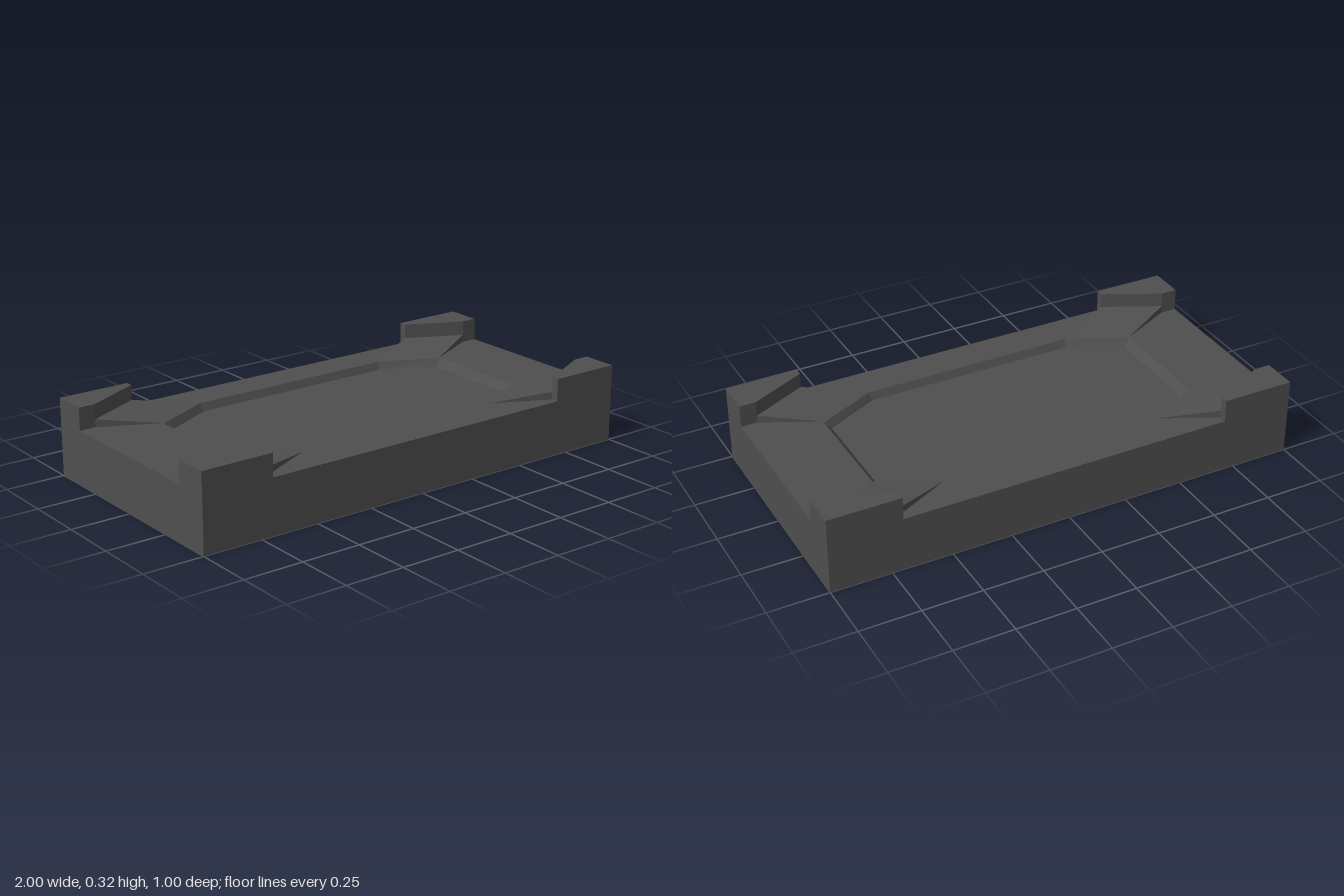
import * as THREE from 'three';

const DECK = 0.228, FLOOR = 0.196, BLOCK_TOP = 0.322, RAMP_TOP = 0.26;

// Order plan points [x, z, y] counter-clockwise as seen from above
const ccw = (pts) =>
  THREE.ShapeUtils.isClockWise(pts.map(([x, z]) => new THREE.Vector2(x, -z))) ? [...pts].reverse() : pts;
const atHeight = (pts, y) => pts.map(([x, z]) => [x, z, y]);
const rectangle = (x, z) => [[-x, z], [x, z], [x, -z], [-x, -z]];
const octagon = (x, z, cx, cz) =>
  [[-cx, z], [cx, z], [x, cz], [x, -cz], [cx, -z], [-cx, -z], [-x, -cz], [-x, cz]];

// Flat-shaded quads, skipping triangles without area
function quads(list) {
  const pos = [];
  const tri = new THREE.Triangle();
  for (const q of list) {
    const [a, b, c, d] = q.map(([x, z, y]) => new THREE.Vector3(x, y, z));
    for (const t of [[a, b, c], [a, c, d]]) {
      if (tri.set(...t).getArea() > 1e-7) t.forEach((p) => pos.push(p.x, p.y, p.z));
    }
  }
  const geo = new THREE.BufferGeometry();
  geo.setAttribute('position', new THREE.Float32BufferAttribute(pos, 3));
  geo.computeVertexNormals();
  return geo;
}

// Wall between two rings with matching points
const wall = (low, high) => quads(low.map((p, i) => {
  const j = (i + 1) % low.length;
  return [p, low[j], high[j], high[i]];
}));

// Horizontal face with an optional hole
function plate(pts, y, up = true, hole) {
  const s = up ? 1 : -1;
  const to2 = (list) => list.map(([x, z]) => new THREE.Vector2(x, -z * s));
  const shape = new THREE.Shape(to2(pts));
  if (hole) shape.holes.push(new THREE.Path(to2(hole)));
  return new THREE.ShapeGeometry(shape).rotateX(-s * Math.PI / 2).translate(0, y, 0);
}

export function createModel() {
  const model = new THREE.Group();
  const stone = new THREE.MeshStandardMaterial({ color: 0x4f4f4f });
  stone.name = 'darkGrey';
  const add = (name, geo, parent = model) => {
    const mesh = new THREE.Mesh(geo, stone);
    mesh.name = name;
    parent.add(mesh);
  };

  // Slab with an octagonal tray on top and a sloped hollow underneath
  const outline = rectangle(1, 0.5);
  const rim = octagon(0.7, 0.35, 0.455, 0.23);
  const tray = octagon(0.672, 0.336, 0.445, 0.222);
  const opening = rectangle(0.7, 0.35);
  const ceiling = rectangle(0.6, 0.3);
  const ceilingY = 0.05;
  add('slabSides', wall(atHeight(outline, 0), atHeight(outline, DECK)));
  add('deck', plate(outline, DECK, true, rim));
  add('trayWall', wall(atHeight(tray, FLOOR).reverse(), atHeight(rim, DECK).reverse()));
  add('trayFloor', plate(tray, FLOOR));
  add('underside', plate(outline, 0, false, opening));
  add('hollowWall', wall(atHeight(opening, 0).reverse(), atHeight(ceiling, ceilingY).reverse()));
  add('hollowCeiling', plate(ceiling, ceilingY, false));

  // Corner blocks, each with a ramp sloping down to the tray
  for (const sx of [-1, 1]) for (const sz of [-1, 1]) {
    const corner = new THREE.Group();
    corner.name = `${sz > 0 ? 'front' : 'back'}${sx > 0 ? 'Left' : 'Right'}Corner`;
    const mirror = (pts) => ccw(pts.map(([x, z, y]) => [x * sx, z * sz, y]));

    const foot = mirror([[1, 0.5], [1, 0.352], [0.932, 0.352], [0.697, 0.469], [0.697, 0.5]]);
    add('blockSides', wall(atHeight(foot, DECK), atHeight(foot, BLOCK_TOP)), corner);
    add('blockTop', plate(foot, BLOCK_TOP), corner);

    const ramp = mirror([[0.932, 0.352, RAMP_TOP], [0.697, 0.469, RAMP_TOP],
      [0.462, 0.352, DECK], [0.697, 0.235, DECK]]);
    add('rampSides', wall(atHeight(ramp, DECK), ramp), corner);
    add('rampSlope', quads([ramp]), corner);
    model.add(corner);
  }
  return model;
}
